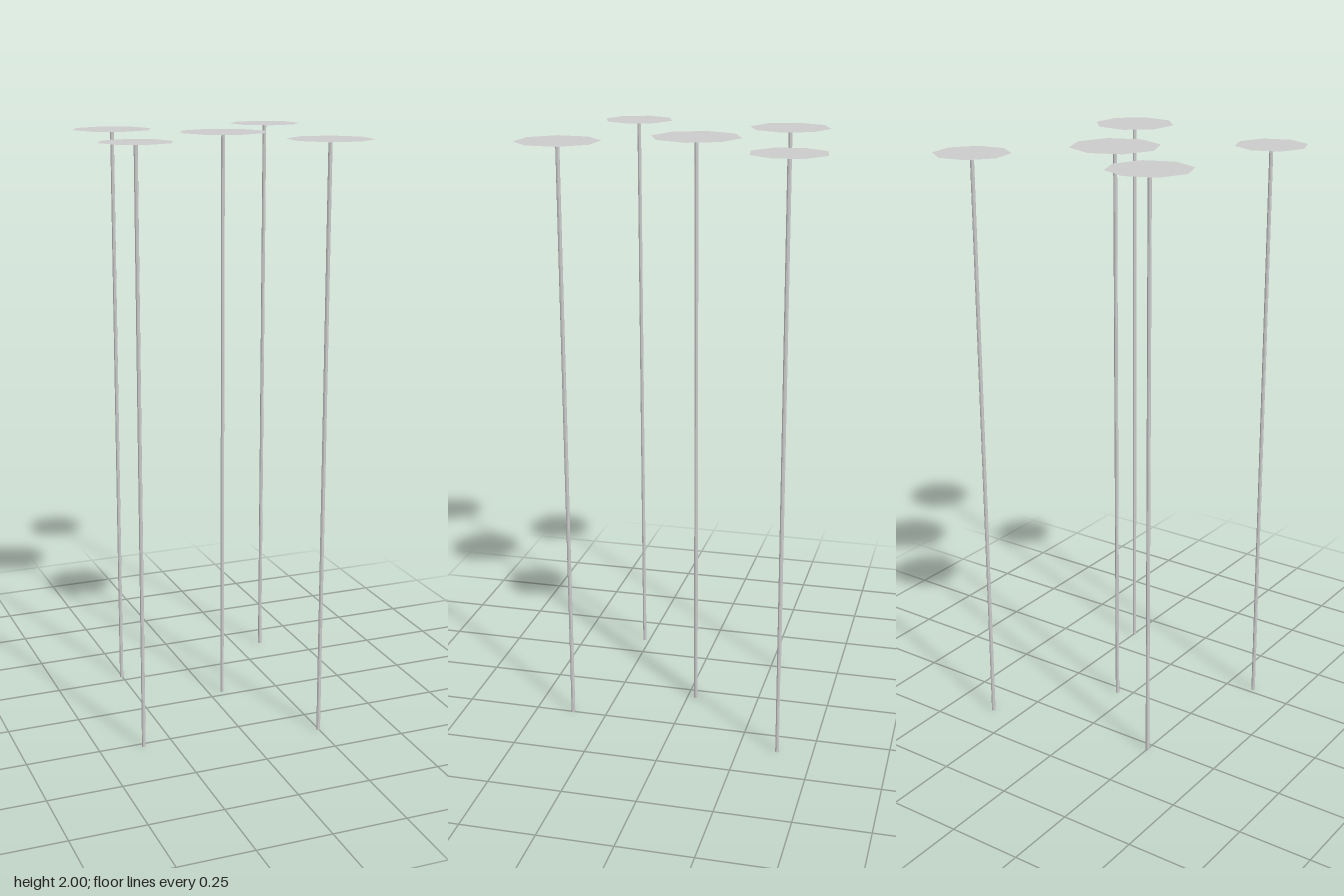
import * as THREE from 'three';

// x, z, disc radius, turn of the octagon
const STANDS = [
  [0.05, -0.03, 0.149, 0],
  [-0.252, -0.281, 0.137, -0.025],
  [0.348, -0.381, 0.125, -0.235],
  [-0.351, 0.269, 0.12, -0.05],
  [0.248, 0.369, 0.138, 0.31],
];
const HEIGHT = 2;
const POLE_RADIUS = 0.0065;

export function createModel() {
  const model = new THREE.Group();
  const material = new THREE.MeshStandardMaterial({
    color: 0xcccccc, flatShading: true, side: THREE.DoubleSide,
  });

  for (const [x, z, radius, turn] of STANDS) {
    const stand = new THREE.Group();
    stand.name = 'stand';
    stand.position.set(x, 0, z);

    // Paper-thin octagonal top
    const disc = new THREE.Mesh(new THREE.CircleGeometry(radius, 8, turn).rotateX(-Math.PI / 2), material);
    disc.name = 'disc';
    disc.position.y = HEIGHT;

    // Slender pole, ending just under the disc
    const poleHeight = HEIGHT - 0.001;
    const pole = new THREE.Mesh(new THREE.CylinderGeometry(POLE_RADIUS, POLE_RADIUS, poleHeight, 8), material);
    pole.name = 'pole';
    pole.position.y = poleHeight / 2;
    pole.rotation.y = turn;

    stand.add(disc, pole);
    model.add(stand);
  }
  return model;
}
